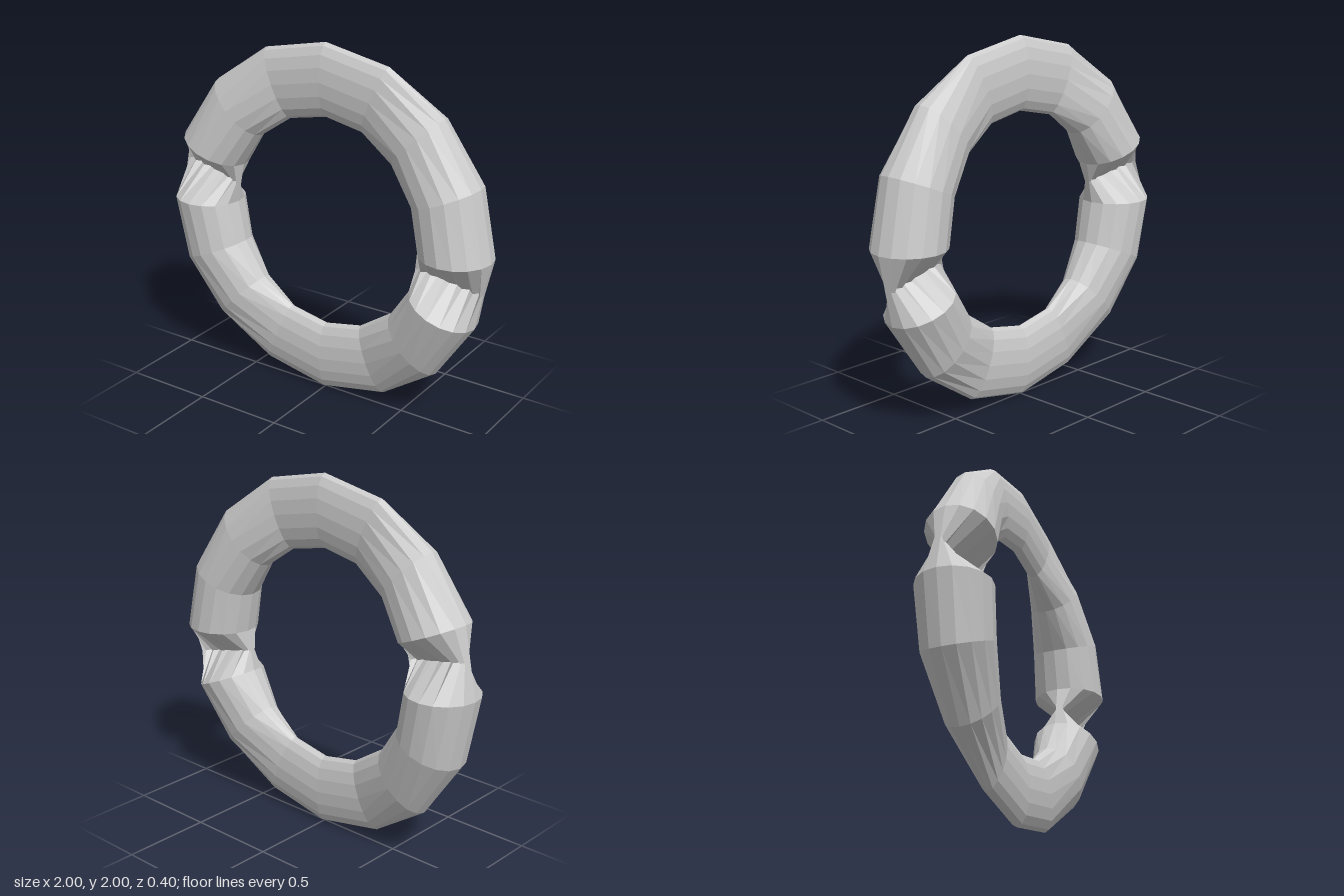
import * as THREE from 'three';

const SEGMENTS = 16; // sections around the ring
const SIDES = 16; // corners of each section
const RING_RADIUS = 0.8;
const TUBE_RADIUS = 0.2;
// half depth of the sections from the side of the ring to its top or bottom
const DEPTHS = [0.2, 0.186, 0.137, 0.068, 0.068];

// Corner j of section i; flip mirrors the section front to back
function corner(i, j, flip = 1) {
  const around = (i / SEGMENTS) * Math.PI * 2;
  const angle = (j / SIDES) * Math.PI * 2;
  const k = i % 8;
  const depth = DEPTHS[Math.min(k, 8 - k)];
  const r = RING_RADIUS + TUBE_RADIUS * Math.cos(angle);
  return [r * Math.cos(around), 1 + r * Math.sin(around), flip * depth * Math.sin(angle)];
}

// Skin from section first to section last, optionally mirroring the far end
function skin(name, first, last, flip = 1) {
  const positions = [];
  for (let i = first; i < last; i++) {
    for (let j = 0; j < SIDES; j++) {
      const a = corner(i, j);
      const b = corner(i + 1, j, flip);
      const c = corner(i + 1, j + 1, flip);
      const d = corner(i, j + 1);
      positions.push(...a, ...b, ...c, ...a, ...c, ...d);
    }
  }
  const geometry = new THREE.BufferGeometry();
  geometry.setAttribute('position', new THREE.Float32BufferAttribute(positions, 3));
  geometry.computeVertexNormals();
  const material = new THREE.MeshStandardMaterial({
    color: 0xcccccc, flatShading: true, side: THREE.DoubleSide,
  });
  const mesh = new THREE.Mesh(geometry, material);
  mesh.name = name;
  return mesh;
}

export function createModel() {
  const ring = new THREE.Group();
  ring.name = 'ring';
  // two half rings joined by pinched bands whose sides cross over
  ring.add(
    skin('upperArc', 0, 7),
    skin('rightPinch', 7, 8, -1),
    skin('lowerArc', 8, 15),
    skin('leftPinch', 15, 16, -1),
  );
  return ring;
}
